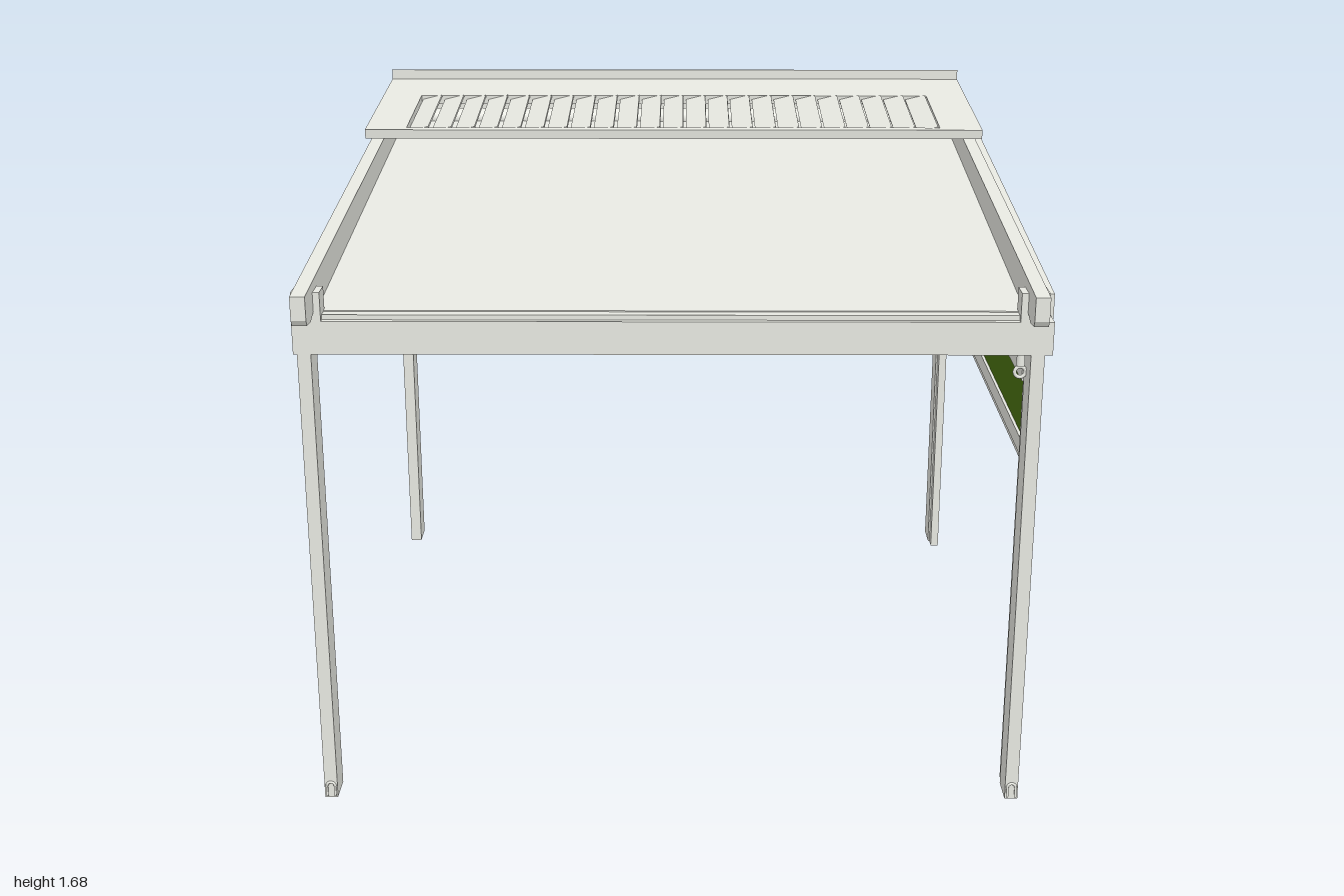
import * as THREE from 'three';

export function createModel() {
  const root = new THREE.Group();
  const metal = new THREE.MeshStandardMaterial({ color: 0xe6e7e0 });
  metal.name = 'light grey aluminium';
  const screenGreen = new THREE.MeshStandardMaterial({ color: 0x486f10 });
  screenGreen.name = 'green fabric';

  const add = (name, geometry, material = metal, parent = root) => {
    const mesh = new THREE.Mesh(geometry, material);
    mesh.name = name;
    parent.add(mesh);
    return mesh;
  };
  // Box given by its limits on each axis
  const box = (name, [x0, x1], [y0, y1], [z0, z1], material = metal, parent = root) => {
    const g = new THREE.BoxGeometry(x1 - x0, y1 - y0, z1 - z0);
    g.translate((x0 + x1) / 2, (y0 + y1) / 2, (z0 + z1) / 2);
    return add(name, g, material, parent);
  };
  // Side outline of [z, y] points, extruded from x0 to x1
  const side = (name, points, x0, x1, material = metal) => {
    const shape = new THREE.Shape(points.map(([z, y]) => new THREE.Vector2(z, y)));
    const g = new THREE.ExtrudeGeometry(shape, { depth: x1 - x0, bevelEnabled: false });
    g.rotateY(-Math.PI / 2).translate(x1, 0, 0);
    return add(name, g, material);
  };
  // Underside of the sloping rails, and a strip running parallel to it
  const railY = z => 1.405 + (0.83 - z) * 0.0925;
  const strip = (z0, z1, low, high) => [
    [z0, railY(z0) + low], [z1, railY(z1) + low], [z1, railY(z1) + high], [z0, railY(z0) + high],
  ];

  // Posts, sloping rails and their brackets on both sides
  for (const [label, x0, x1, r0, r1, c0] of [
    ['right', -0.955, -0.92, -0.945, -0.907, -0.929],
    ['left', 0.9, 0.935, 0.886, 0.923, 0.886],
  ]) {
    box(label + 'FrontPost', [x0, x1], [0, 1.27], [0.815, 0.9]);
    box(label + 'BackPost', [x0, x1], [0, 1.6], [-1, -0.91]);
    side(label + 'RoofRail', [
      [1, 1.385], [0.99, 1.37], [0.94, 1.365], [0.83, railY(0.83)], [-0.9, railY(-0.9)],
      [-0.9, 1.603], [1, 1.447],
    ], r0, r1);
    side(label + 'ClothChannel', strip(0.85, -0.88, -0.046, 0), c0, c0 + 0.022);
    box(label + 'RailBracket', [r0 - 0.017, r1 + 0.017], [1.35, 1.43], [0.84, 0.9]);
    box(label + 'BackBracket', [r0 - 0.012, r1 + 0.012], [1.515, 1.605], [-0.99, -0.89]);

    // Drain spout at the foot of each front post
    const spout = add(label + 'DrainSpout', new THREE.TorusGeometry(0.011, 0.004, 6, 16, Math.PI));
    spout.position.set((x0 + x1) / 2, 0.035, 0.901);
    for (const s of [-1, 1]) {
      const x = (x0 + x1) / 2 + s * 0.011;
      box(label + 'SpoutEdge', [x - 0.003, x + 0.003], [0.005, 0.035], [0.898, 0.904]);
    }
  }

  // Front gutter beam and back beam
  box('frontBeam', [-0.965, 0.955], [1.268, 1.355], [0.812, 0.9]);
  box('backBeam', [-0.955, 0.935], [1.508, 1.605], [-0.995, -0.92]);

  // Awning cloth with its roller, front bar and support bars
  side('roofCloth', strip(0.855, -0.88, -0.039, -0.032), -0.915, 0.895);
  box('frontBar', [-0.907, 0.886], [1.345, 1.368], [0.855, 0.885]);
  const roller = add('clothRoller', new THREE.CylinderGeometry(0.032, 0.032, 1.79, 24));
  roller.rotation.z = Math.PI / 2;
  roller.position.set(-0.01, 1.535, -0.885);
  for (const z of [-0.53, -0.17, 0.18, 0.53]) {
    const y = railY(z);
    box('supportBar', [-0.94, 0.918], [y - 0.061, y - 0.036], [z - 0.015, z + 0.015]);
  }

  // Sloping rear hood with a slatted vent; local z = 0 is its front edge
  const hood = new THREE.Group();
  hood.name = 'rearHood';
  hood.position.set(0, 1.567, -0.367);
  hood.rotation.x = 0.08;
  root.add(hood);
  const rect = (path, x0, x1, y0, y1) =>
    path.moveTo(x0, y0).lineTo(x1, y0).lineTo(x1, y1).lineTo(x0, y1).closePath();
  const outline = rect(new THREE.Shape(), -0.96, 0.94, 0, 0.633);
  outline.holes.push(rect(new THREE.Path(), -0.835, 0.812, 0.028, 0.413));
  const plate = new THREE.ExtrudeGeometry(outline, { depth: 0.028, bevelEnabled: false });
  plate.rotateX(-Math.PI / 2);
  add('hoodPlate', plate, metal, hood);
  const slats = 23, pitch = 1.647 / slats;
  for (let i = 0; i < slats; i++) {
    const slat = add('ventSlat', new THREE.BoxGeometry(pitch * 0.9, 0.006, 0.385), metal, hood);
    slat.position.set(-0.835 + (i + 0.5) * pitch, 0.02, -0.2205);
    slat.rotation.z = 0.25;
  }
  box('wallFlashing', [-0.96, 0.94], [1.605, 1.676], [-1, -0.994]);

  // Triangular side window on the left
  const X0 = 0.936, X1 = 0.963;
  side('upperScreen', [
    [0.815, 1.345], [-0.87, 1.345], [-0.87, 1.524], [0.815, 1.396],
  ], 0.946, 0.954, screenGreen);
  box('upperScreenSill', [X0, X1], [1.308, 1.345], [-0.905, 0.83]);
  box('upperScreenBackStile', [X0, X1], [1.345, 1.57], [-0.905, -0.87]);
  box('upperScreenFrontStile', [X0, X1], [1.345, 1.41], [0.815, 0.835]);
  side('upperScreenTopRail', [
    [0.835, 1.394], [-0.87, 1.524], [-0.87, 1.565], [0.835, 1.41],
  ], X0, X1);

  // Lower roller blind on the left: header, cassette, guides, cloth and hem bar
  box('sideBeam', [0.9, 0.94], [1.262, 1.31], [-0.91, 0.815]);
  box('blindCassette', [0.895, 0.935], [1.172, 1.262], [-0.872, 0.815]);
  box('frontBlindGuide', [0.905, 0.93], [0, 1.175], [0.778, 0.815]);
  box('backBlindGuide', [0.905, 0.93], [0, 1.262], [-0.91, -0.868]);
  box('lowerScreen', [0.914, 0.921], [1, 1.175], [-0.868, 0.778], screenGreen);
  box('blindHemBar', [0.906, 0.929], [0.958, 1.002], [-0.865, 0.775]);
  box('blindHemSeal', [0.911, 0.924], [0.938, 0.958], [-0.868, 0.778]);

  // Crank eye under the front beam
  const stem = add('crankStem', new THREE.CylinderGeometry(0.009, 0.012, 0.045, 12));
  stem.position.set(0.885, 1.245, 0.84);
  const eye = add('crankEye', new THREE.TorusGeometry(0.014, 0.005, 8, 16));
  eye.position.set(0.885, 1.205, 0.84);

  return root;
}
